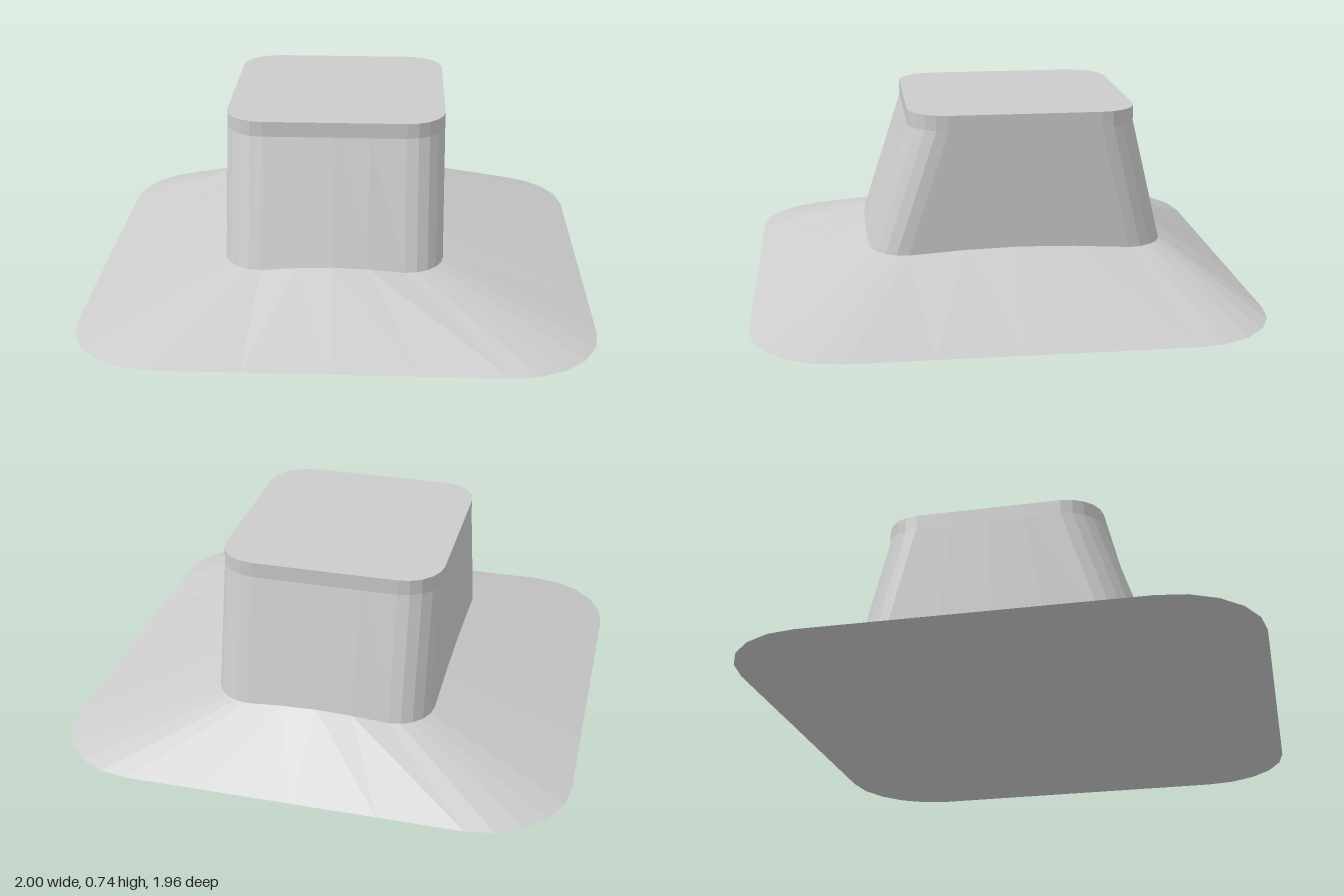
import * as THREE from 'three';

const CORNER_STEPS = 5;
const EDGE_STEPS = 4;

// Rounded rectangle ring, every ring having the same number of points.
// bulge pushes the front and back edges out; dip lowers the corners.
function ring({ cx = 0, cz = 0, hx, hz, r, y, bulge = 0, dip = 0 }) {
  const points = [];
  const signs = [[1, 1], [-1, 1], [-1, -1], [1, -1]];
  const cornerPoint = (k, step) => {
    const [sx, sz] = signs[k % 4];
    const a = (k + step / CORNER_STEPS) * Math.PI / 2;
    return new THREE.Vector3(
      cx + sx * (hx - r) + r * Math.cos(a), y - dip,
      cz + sz * (hz - r) + r * Math.sin(a));
  };
  for (let k = 0; k < 4; k++) {
    for (let i = 0; i <= CORNER_STEPS; i++) points.push(cornerPoint(k, i));
    const start = cornerPoint(k, CORNER_STEPS);
    const end = cornerPoint(k + 1, 0);
    for (let i = 1; i < EDGE_STEPS; i++) {
      const t = i / EDGE_STEPS;
      const p = start.clone().lerp(end, t);
      const swell = Math.sin(t * Math.PI);
      p.y += dip * swell;
      if (k % 2 === 0) p.z += signs[k][1] * bulge * swell;
      points.push(p);
    }
  }
  return points;
}

// Skin consecutive rings from bottom to top, with optional flat caps.
function loft(rings, capBottom, capTop) {
  const n = rings[0].length;
  const positions = rings.flat().flatMap((p) => p.toArray());
  const index = [];
  for (let j = 0; j < rings.length - 1; j++) {
    for (let i = 0; i < n; i++) {
      const a = j * n + i;
      const b = j * n + (i + 1) % n;
      index.push(a, a + n, b + n, a, b + n, b);
    }
  }
  const last = (rings.length - 1) * n;
  for (let i = 1; i < n - 1; i++) {
    if (capBottom) index.push(0, i, i + 1);
    if (capTop) index.push(last, last + i + 1, last + i);
  }
  const geometry = new THREE.BufferGeometry();
  geometry.setAttribute('position', new THREE.Float32BufferAttribute(positions, 3));
  geometry.setIndex(index);
  const flat = geometry.toNonIndexed();
  flat.computeVertexNormals();
  return flat;
}

export function createModel() {
  const group = new THREE.Group();
  group.name = 'flaredPedestal';
  const material = new THREE.MeshStandardMaterial({
    color: 0xcccccc, flatShading: true, side: THREE.DoubleSide,
  });
  const add = (name, geometry) => {
    const mesh = new THREE.Mesh(geometry, material);
    mesh.name = name;
    group.add(mesh);
  };

  const foot = ring({ hx: 1, hz: 0.98, r: 0.35, y: 0 });
  const seam = ring({ cx: -0.015, cz: -0.065, hx: 0.43, hz: 0.587, r: 0.15, y: 0.208, bulge: 0.008, dip: 0.02 });
  const top = { cx: -0.015, cz: -0.085, hx: 0.43, hz: 0.447, r: 0.15 };

  // Sloping skirt with a flat underside
  add('base', loft([foot, seam], true, false));
  // Tapered block ending in a short upright rim and flat top
  add('block', loft([seam, ring({ ...top, y: 0.68 }), ring({ ...top, y: 0.74 })], false, true));

  return group;
}
